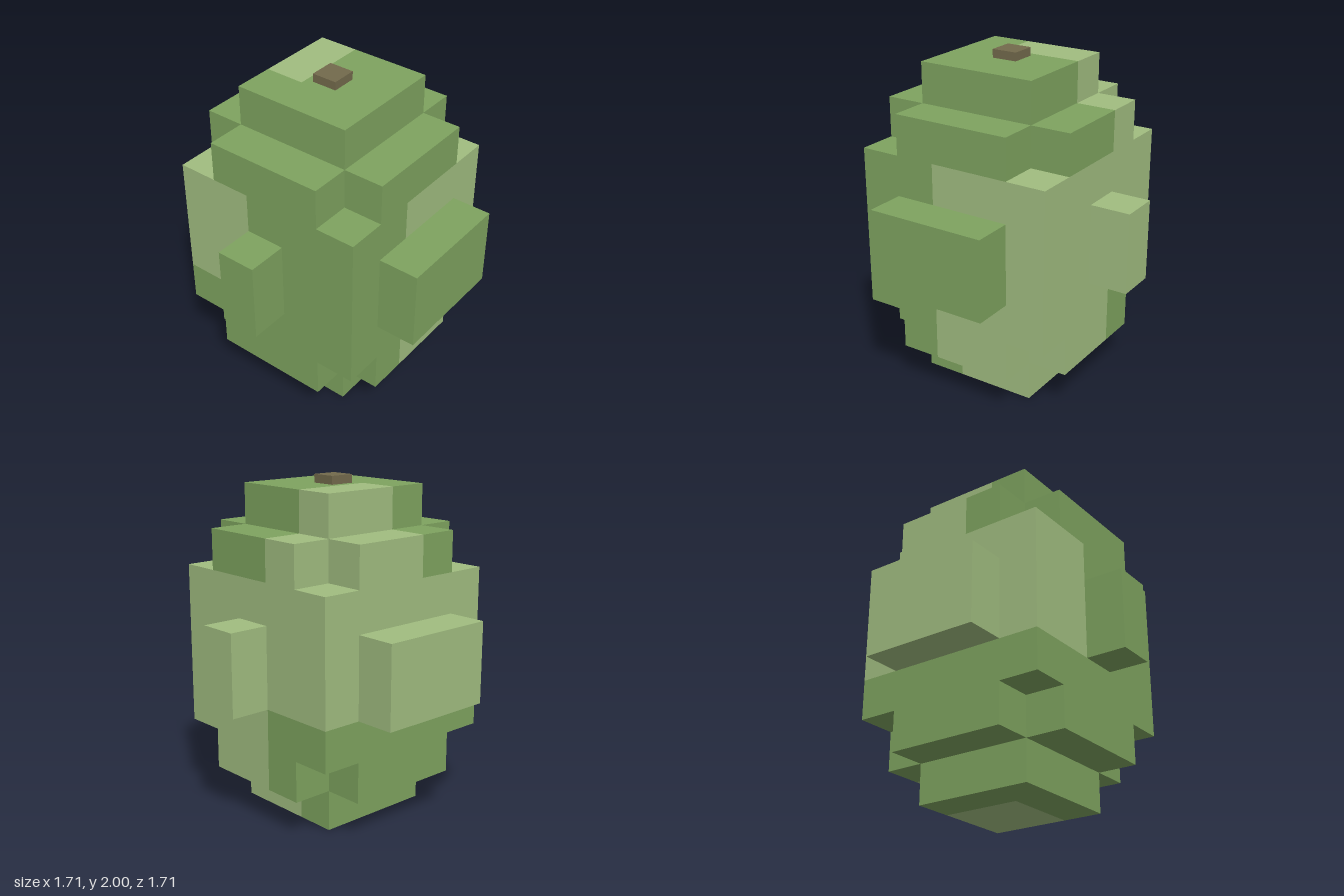
import * as THREE from 'three';

const S = 0.2437; // cell size

// Each part: ranges of cells [x0,x1, y0,y1, z0,z1]; cutCorners drops the four upright edges
const parts = [
  { name: 'crown', r: [-1, 1, 7, 7, -1, 1] },
  { name: 'upperRing', r: [-2, 2, 6, 6, -2, 2], cutCorners: true },
  { name: 'middleBody', r: [-2, 2, 2, 5, -2, 2] },
  { name: 'lowerRing', r: [-2, 2, 1, 1, -2, 2], cutCorners: true },
  { name: 'base', r: [-1, 1, 0, 0, -1, 1] },
  { name: 'leftBump', r: [3, 3, 3, 4, -1, 1] },
  { name: 'rightBump', r: [-3, -3, 3, 4, -1, 1] },
  { name: 'frontBump', r: [0, 0, 3, 4, 3, 3] },
  { name: 'backBump', r: [0, 0, 3, 4, -3, -3] },
];

const inPart = ({ r, cutCorners }, x, y, z) =>
  x >= r[0] && x <= r[1] && y >= r[2] && y <= r[3] && z >= r[4] && z <= r[5] &&
  !(cutCorners && Math.abs(x) === 2 && Math.abs(z) === 2);
const solid = (x, y, z) => parts.some((p) => inPart(p, x, y, z));

// Mottled skin: patches three cells wide are either pale or deep green
function isPale(x, y, z) {
  const rightSide = x < 0, frontSide = z > 0;
  if (x > 2) return false;
  if (y < 3) return !rightSide && !frontSide;
  if (y < 6) return rightSide || !frontSide;
  return rightSide && !frontSide;
}

// The six face directions, each with two edge directions where u x v = normal
const faces = [];
for (let a = 0; a < 3; a++) {
  for (const s of [1, -1]) {
    const axis = (i, k) => new THREE.Vector3().setComponent(i % 3, k);
    faces.push({ n: axis(a, s), u: axis(a + 1, s), v: axis(a + 2, 1) });
  }
}

// Outer faces of the cells of one part that have the wanted shade
function skin(part, pale) {
  const pos = [], nor = [], r = part.r;
  for (let x = r[0]; x <= r[1]; x++)
    for (let y = r[2]; y <= r[3]; y++)
      for (let z = r[4]; z <= r[5]; z++) {
        if (!inPart(part, x, y, z) || isPale(x, y, z) !== pale) continue;
        for (const { n, u, v } of faces) {
          if (solid(x + n.x, y + n.y, z + n.z)) continue;
          for (const [a, b] of [[-1, -1], [1, -1], [1, 1], [-1, -1], [1, 1], [-1, 1]]) {
            const p = new THREE.Vector3(x, y + 0.5, z).addScaledVector(n, 0.5)
              .addScaledVector(u, a / 2).addScaledVector(v, b / 2).multiplyScalar(S);
            pos.push(p.x, p.y, p.z);
            nor.push(n.x, n.y, n.z);
          }
        }
      }
  const g = new THREE.BufferGeometry();
  g.setAttribute('position', new THREE.Float32BufferAttribute(pos, 3));
  g.setAttribute('normal', new THREE.Float32BufferAttribute(nor, 3));
  return g;
}

export function createModel() {
  const deepGreen = new THREE.MeshStandardMaterial({ color: 0x7ea35f });
  deepGreen.name = 'deep green';
  const paleGreen = new THREE.MeshStandardMaterial({ color: 0xa1bd80 });
  paleGreen.name = 'pale green';
  const brown = new THREE.MeshStandardMaterial({ color: 0x736a4c });
  brown.name = 'stem brown';

  const model = new THREE.Group();
  model.name = 'blockFruit';
  for (const part of parts) {
    const group = new THREE.Group();
    group.name = part.name;
    for (const pale of [false, true]) {
      const g = skin(part, pale);
      if (!g.attributes.position.count) continue;
      const mesh = new THREE.Mesh(g, pale ? paleGreen : deepGreen);
      mesh.name = part.name + (pale ? 'Pale' : 'Deep');
      group.add(mesh);
    }
    model.add(group);
  }

  // Short stem on the crown
  const top = 8 * S;
  const stem = new THREE.Mesh(new THREE.BoxGeometry(0.155, 2 - top, 0.155), brown);
  stem.name = 'stem';
  stem.position.y = (2 + top) / 2;
  model.add(stem);
  return model;
}
